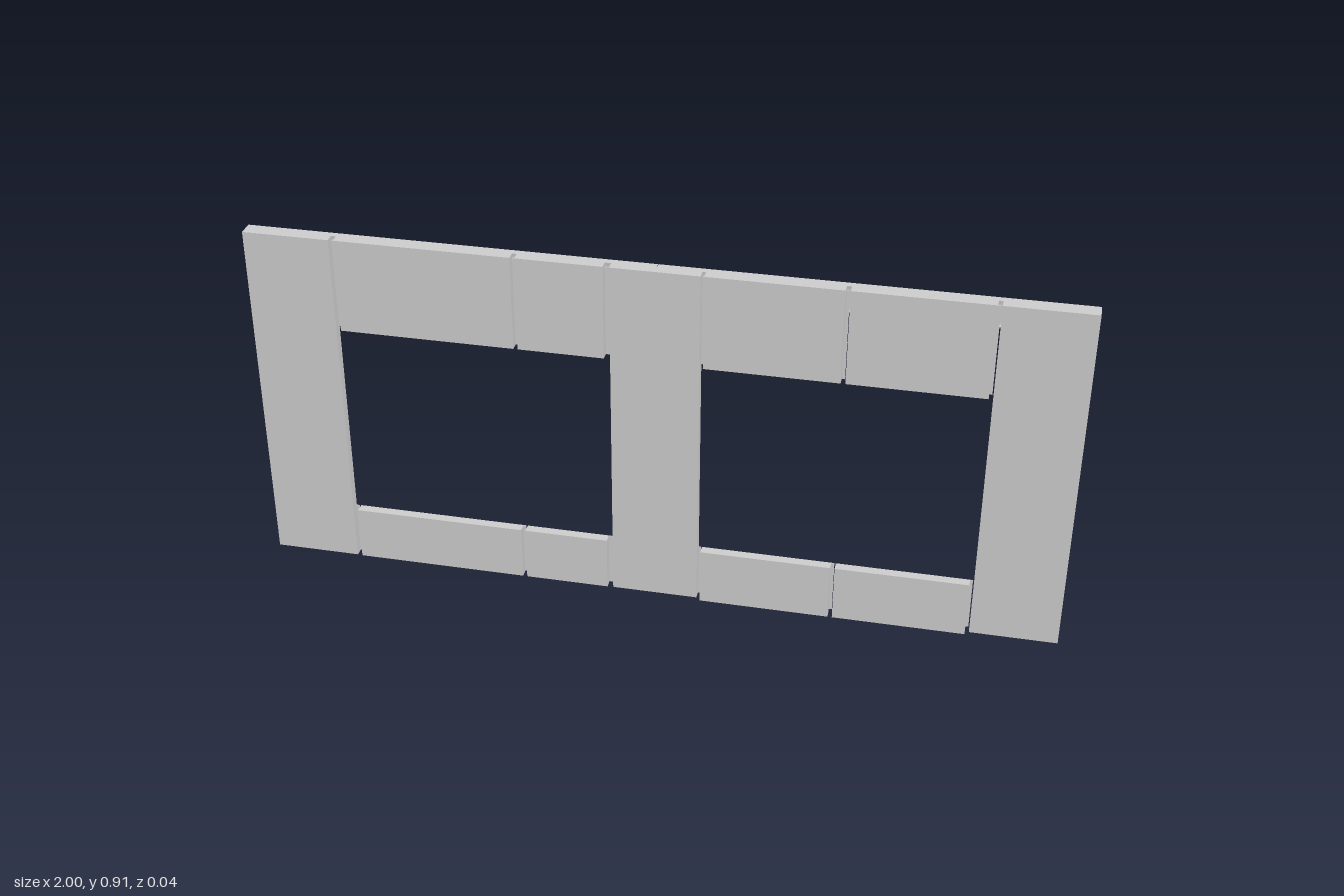
import * as THREE from 'three';

const material = new THREE.MeshStandardMaterial({ color: 0xcccccc });
const FRONT = 0.021, BACK = -0.003, SHEET = 0.002;

function addBox(group, name, x0, x1, y0, y1, z0, z1) {
  const mesh = new THREE.Mesh(new THREE.BoxGeometry(x1 - x0, y1 - y0, z1 - z0), material);
  mesh.position.set((x0 + x1) / 2, (y0 + y1) / 2, (z0 + z1) / 2);
  mesh.name = name;
  group.add(mesh);
}

// Folded sheet-metal pan: front face, four flanges and narrow return lips, open at the back
function makePanel(name, x0, x1, y0, y1) {
  const panel = new THREE.Group();
  panel.name = name;
  const t = SHEET, lip = 0.009;
  addBox(panel, 'face', x0, x1, y0, y1, FRONT - t, FRONT);
  addBox(panel, 'rightFlange', x0, x0 + t, y0, y1, BACK, FRONT - t);
  addBox(panel, 'leftFlange', x1 - t, x1, y0, y1, BACK, FRONT - t);
  addBox(panel, 'bottomFlange', x0 + t, x1 - t, y0, y0 + t, BACK, FRONT - t);
  addBox(panel, 'topFlange', x0 + t, x1 - t, y1 - t, y1, BACK, FRONT - t);
  addBox(panel, 'rightLip', x0 + t, x0 + lip, y0 + t, y1 - t, BACK, BACK + t);
  addBox(panel, 'leftLip', x1 - lip, x1 - t, y0 + t, y1 - t, BACK, BACK + t);
  addBox(panel, 'bottomLip', x0 + lip, x1 - lip, y0 + t, y0 + lip, BACK, BACK + t);
  addBox(panel, 'topLip', x0 + lip, x1 - lip, y1 - lip, y1 - t, BACK, BACK + t);
  return panel;
}

// Hanging rail: web with a flange along its top and bottom, swept along x
function makeRail(name, x0, x1) {
  const profile = [
    [0.003, 0.907], [0.02, 0.907], [0.018, 0.904], [0.014, 0.902],
    [0.012, 0.897], [0.012, 0.85], [0.014, 0.844], [0.019, 0.842], [0.019, 0.84],
    [0.003, 0.84], [0.003, 0.842], [0.008, 0.844], [0.009, 0.85],
    [0.009, 0.897], [0.008, 0.904], [0.003, 0.905],
  ];
  const shape = new THREE.Shape(profile.map(([z, y]) => new THREE.Vector2(z, y)));
  const geometry = new THREE.ExtrudeGeometry(shape, { depth: x1 - x0, bevelEnabled: false });
  geometry.rotateY(Math.PI / 2); // profile x becomes -z, depth becomes +x
  geometry.translate(x0, 0, 0);
  const rail = new THREE.Mesh(geometry, material);
  rail.name = name;
  return rail;
}

export function createModel() {
  const model = new THREE.Group();
  model.name = 'panelWall';

  // Full-height columns
  const columns = [['rightColumn', -1, -0.786], ['middleColumn', -0.107, 0.107], ['leftColumn', 0.786, 1]];
  for (const [name, x0, x1] of columns) model.add(makePanel(name, x0, x1, 0.008, 0.907));

  // Infill panels above and below the two openings
  const bays = [[-0.774, -0.343], [-0.332, -0.122], [0.115, 0.438], [0.449, 0.776]];
  bays.forEach(([x0, x1], i) => {
    model.add(makePanel('upperPanel' + (i + 1), x0, x1, 0.667, 0.907));
    model.add(makePanel('lowerPanel' + (i + 1), x0, x1, x0 > 0 ? 0 : 0.007, 0.147));
  });

  // Narrow joint strips behind the gaps
  const joints = [[-0.786, -0.774], [-0.343, -0.332], [-0.122, -0.107],
    [0.107, 0.115], [0.438, 0.449], [0.776, 0.786]];
  for (const [x0, x1] of joints) {
    const mid = (x0 + x1) / 2;
    addBox(model, 'upperJointStrip', x0, mid + 0.002, 0.667, 0.895, BACK, BACK + SHEET);
    addBox(model, 'lowerJointStrip', x0, mid + 0.002, 0.008, 0.147, BACK, BACK + SHEET);
  }

  // Rail in two lengths across the back of the top edge
  model.add(makeRail('rightRail', -1, -0.001));
  model.add(makeRail('leftRail', 0.001, 1));
  return model;
}
